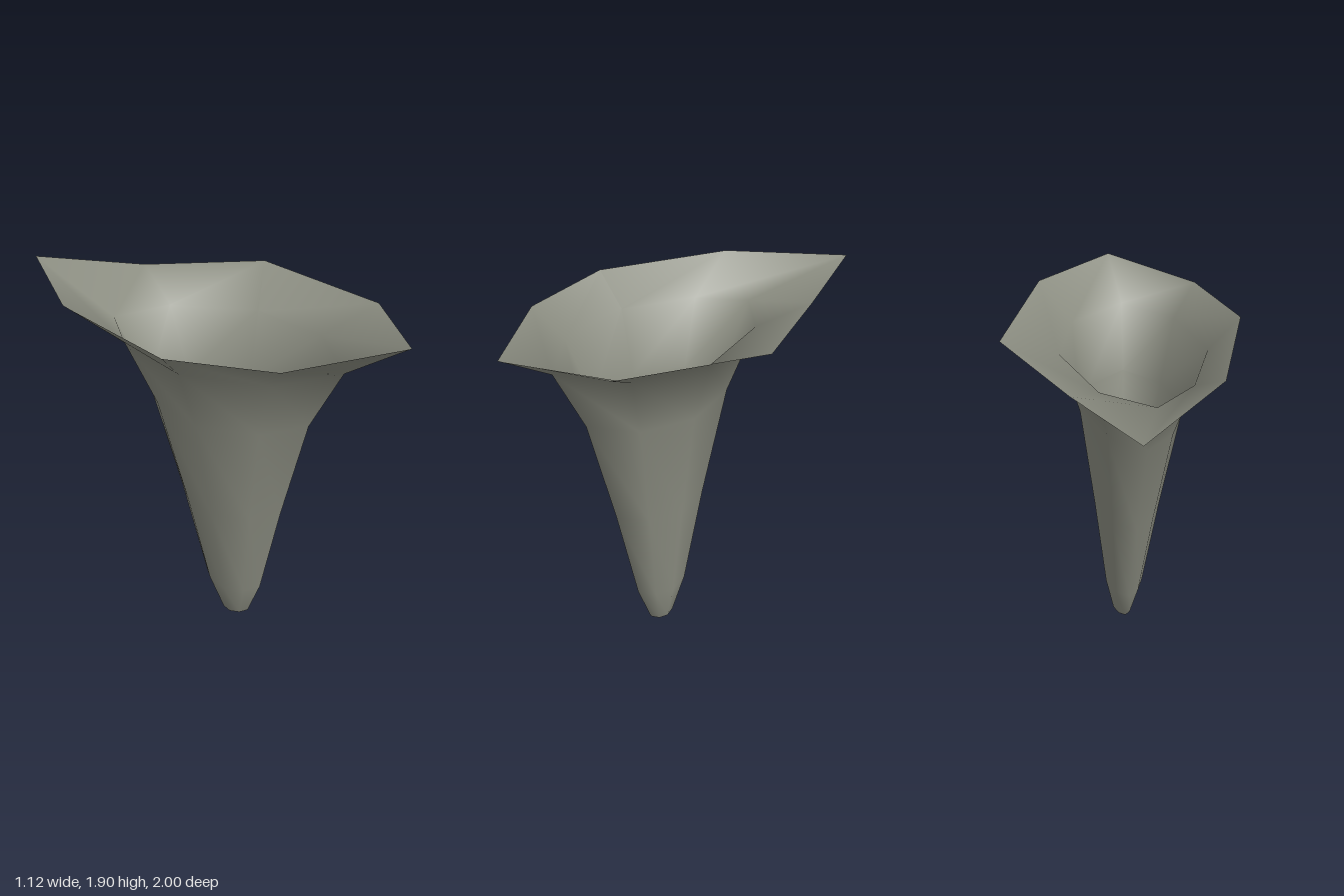
import * as THREE from 'three';

// Outline shared by the wall rings, in units of half width and half depth, from the back clockwise
const outline = [[-0.46, -1], [0.31, -0.81], [1, -0.17], [1, 0.5], [0.38, 1], [-0.46, 0.71], [-1, 0.07], [-0.88, -0.6]];

// Wall rings: height, x centre, half width, z centre, half depth
const rings = [
  [0.02, 0.012, 0.053, 0.205, 0.075],
  [0.24, 0.002, 0.103, 0.197, 0.157],
  [0.80, -0.017, 0.175, 0.185, 0.275],
  [1.39, -0.04, 0.26, 0.17, 0.42],
  [1.72, -0.05, 0.36, 0.16, 0.58],
];

// Flared, irregular rim
const rim = [
  [-0.21, 1.865, -1], [0.15, 1.83, -0.57], [0.56, 1.853, -0.11], [0.51, 1.872, 0.62],
  [0.19, 1.9, 1], [-0.31, 1.876, 0.69], [-0.56, 1.88, 0.25], [-0.51, 1.88, -0.44],
];

export function createModel() {
  const group = new THREE.Group();
  group.name = 'flaredFunnel';
  const material = new THREE.MeshStandardMaterial({ color: 0x8c8e82, side: THREE.DoubleSide });
  material.name = 'greyGreen';

  // Cross-sections from the tip up to the rim
  const n = outline.length;
  const sections = rings.map(([y, cx, hx, cz, hz]) => outline.map(([u, v]) => [cx + u * hx, y, cz + v * hz]));
  sections.push(rim);
  const positions = [0.012, 0, 0.205, ...sections.flat(2)];

  const index = [];
  const at = (ring, k) => 1 + ring * n + (k % n);
  for (let k = 0; k < n; k++) {
    // Rounded closed tip
    index.push(0, at(0, k), at(0, k + 1));
    // Wall up to the open rim
    for (let r = 0; r < sections.length - 1; r++) {
      index.push(at(r, k), at(r + 1, k), at(r + 1, k + 1));
      index.push(at(r, k), at(r + 1, k + 1), at(r, k + 1));
    }
  }

  const geometry = new THREE.BufferGeometry();
  geometry.setAttribute('position', new THREE.Float32BufferAttribute(positions, 3));
  geometry.setIndex(index);
  geometry.computeVertexNormals();

  const funnel = new THREE.Mesh(geometry, material);
  funnel.name = 'funnelWall';
  group.add(funnel);
  return group;
}
